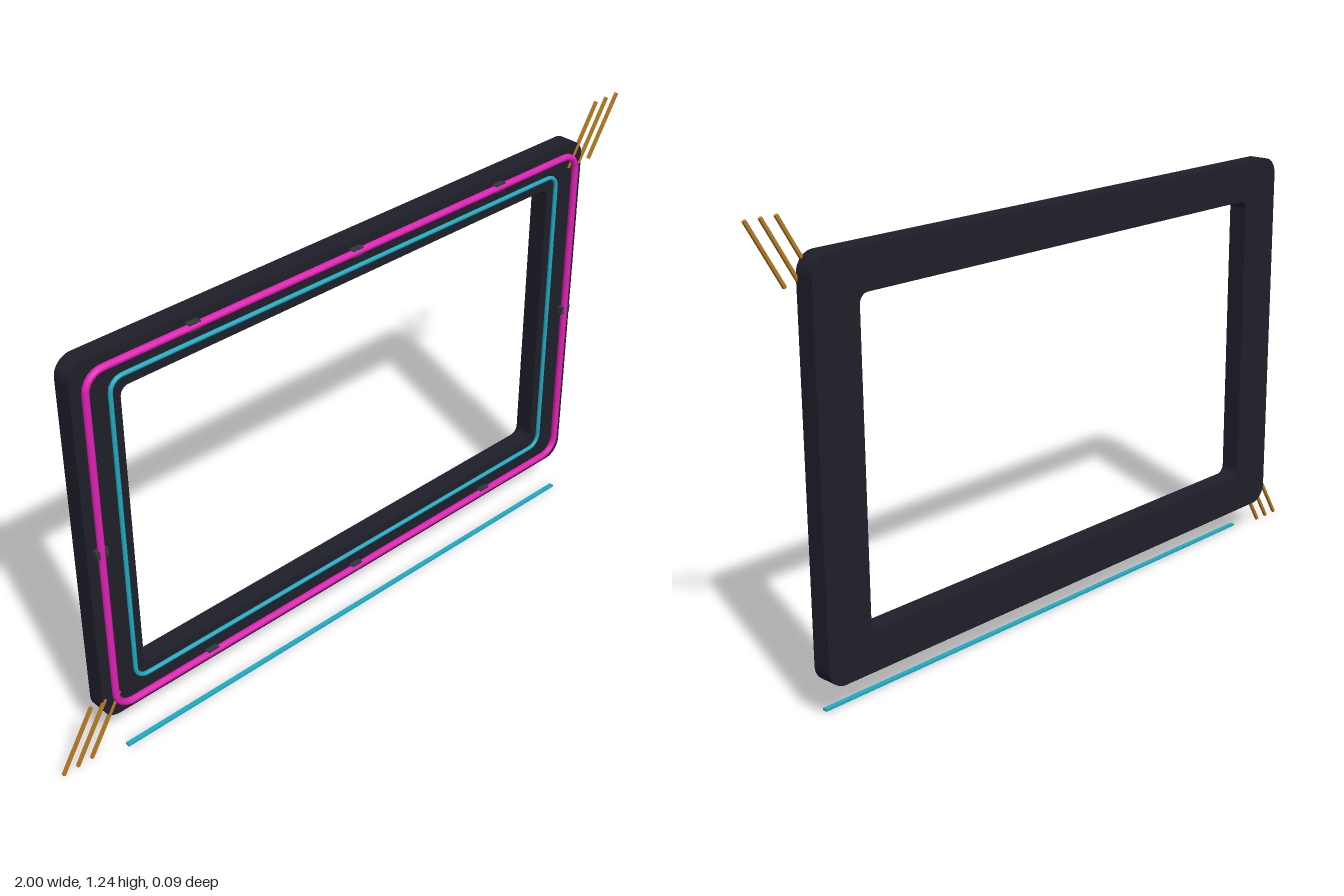
import * as THREE from 'three';

const CENTER_Y = 0.623;

function material(name, color) {
  const m = new THREE.MeshStandardMaterial({ color });
  m.name = name;
  return m;
}

// Rounded rectangle outline centred on the origin
function roundedRect(target, w, h, r) {
  const x = w / 2, y = h / 2;
  target.moveTo(x, -y + r);
  target.lineTo(x, y - r);
  target.absarc(x - r, y - r, r, 0, Math.PI / 2, false);
  target.lineTo(-x + r, y);
  target.absarc(-x + r, y - r, r, Math.PI / 2, Math.PI, false);
  target.lineTo(-x, -y + r);
  target.absarc(-x + r, -y + r, r, Math.PI, Math.PI * 1.5, false);
  target.lineTo(x - r, -y);
  target.absarc(x - r, -y + r, r, Math.PI * 1.5, Math.PI * 2, false);
  return target;
}

// Closed path in the frame plane, for the light tubes
class RectLoop extends THREE.Curve {
  constructor(w, h, r) {
    super();
    this.path = roundedRect(new THREE.Path(), w, h, r);
  }
  getPoint(t, out = new THREE.Vector3()) {
    const p = this.path.getPoint(t);
    return out.set(p.x, p.y, 0);
  }
}

export function createModel() {
  const group = new THREE.Group();
  const dark = material('charcoal', 0x1f1f2a);
  const grey = material('clip grey', 0x34343f);
  const pink = material('magenta', 0xe020b4);
  const teal = material('cyan', 0x20aac2);
  const gold = material('amber', 0xb87c24);

  function add(name, geometry, mat, x, y, z) {
    const mesh = new THREE.Mesh(geometry, mat);
    mesh.name = name;
    mesh.position.set(x, y, z);
    group.add(mesh);
    return mesh;
  }

  // Frame with a rounded opening
  const outline = roundedRect(new THREE.Shape(), 1.72, 1.05, 0.05);
  outline.holes.push(roundedRect(new THREE.Path(), 1.45, 0.83, 0.025));
  const frame = new THREE.ExtrudeGeometry(outline, { depth: 0.054, bevelEnabled: false, curveSegments: 6 });
  add('frame', frame, dark, 0, CENTER_Y, -0.042);

  // Outer and inner light tubes
  const outer = new THREE.TubeGeometry(new RectLoop(1.65, 0.99, 0.05), 360, 0.0095, 10, true);
  add('outerLightTube', outer, pink, 0, CENTER_Y, 0.0225);
  const inner = new THREE.TubeGeometry(new RectLoop(1.51, 0.893, 0.035), 360, 0.006, 8, true);
  add('innerLightTube', inner, teal, 0, CENTER_Y + 0.003, 0.016);

  // Clips holding the outer tube
  const clip = new THREE.BoxGeometry(0.035, 0.022, 0.016);
  for (const side of [-1, 1]) {
    for (const x of [-0.515, 0, 0.515]) add('tubeClip', clip, grey, x, CENTER_Y + side * 0.495, 0.02);
    add('tubeClip', clip, grey, side * 0.825, CENTER_Y, 0.02);
  }

  // Slanted bars at two opposite corners
  const bar = new THREE.BoxGeometry(0.008, 0.193, 0.008);
  for (const side of [-1, 1]) {
    for (let i = 0; i < 3; i++) {
      const slash = add('cornerSlash', bar, gold, side * (0.858 + i * 0.043), CENTER_Y - 0.002 + side * 0.535, 0.0105);
      slash.rotation.z = -0.55;
    }
  }

  // Thin light strip below the frame
  add('lowerLightStrip', new THREE.BoxGeometry(1.63, 0.006, 0.013), teal, 0, 0.006, 0.0365);

  return group;
}
